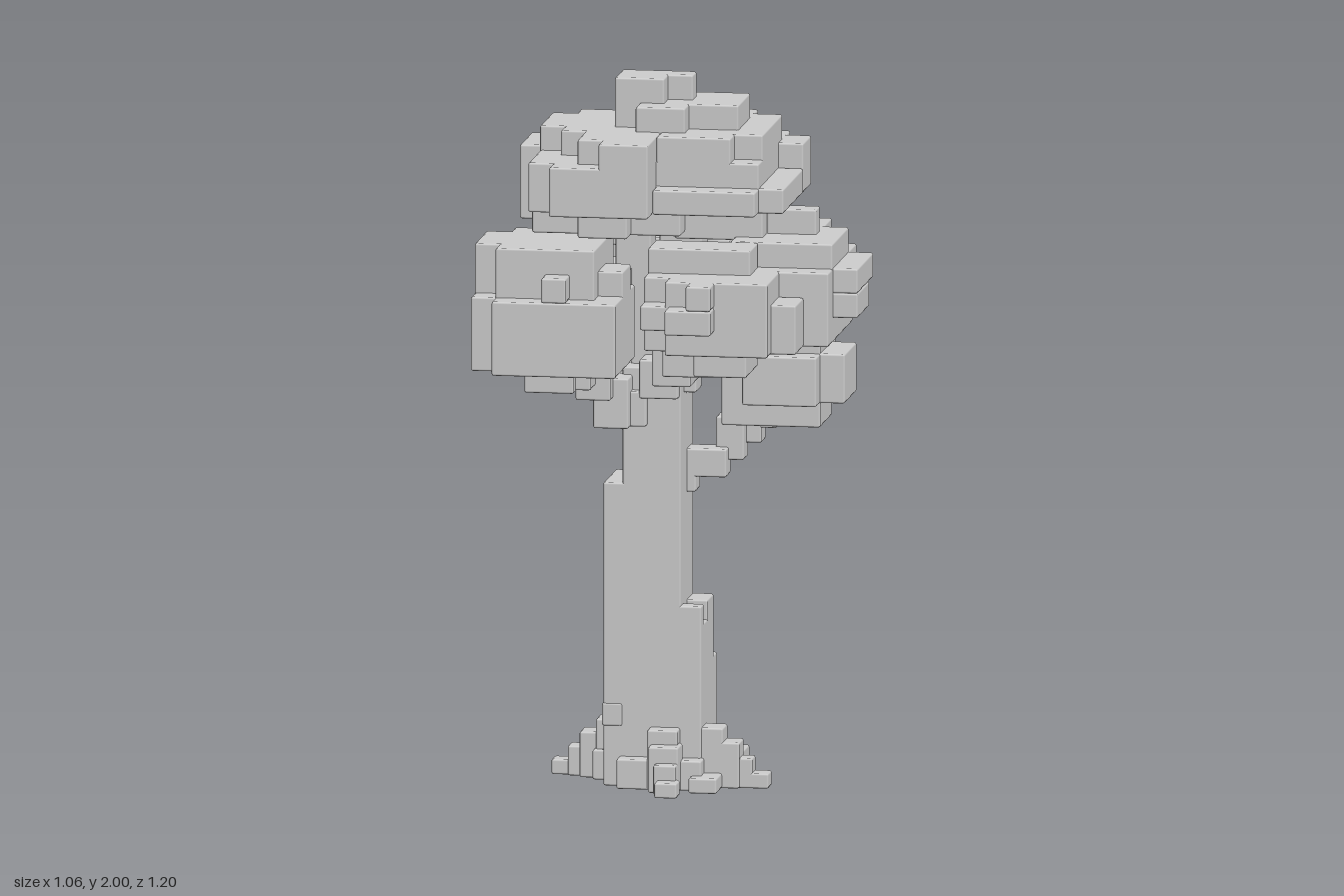
import * as THREE from 'three';
import { RoundedBoxGeometry } from 'three/addons/geometries/RoundedBoxGeometry.js';
import { mergeGeometries } from 'three/addons/utils/BufferGeometryUtils.js';

const material = new THREE.MeshStandardMaterial({ color: 0xcccccc });

// Slightly bevelled block from its limits
function block([x0, x1, y0, y1, z0, z1]) {
  const geo = new RoundedBoxGeometry(x1 - x0, y1 - y0, z1 - z0, 1, 0.006);
  return geo.translate((x0 + x1) / 2, (y0 + y1) / 2, (z0 + z1) / 2);
}

// One mesh from a list of blocks
function part(name, boxes) {
  const mesh = new THREE.Mesh(mergeGeometries(boxes.map(block)), material);
  mesh.name = name;
  return mesh;
}

// Stepped limb of small cubes along a line, snapped to a grid
function limb(from, to, size, steps) {
  const g = 0.043, snap = v => Math.round(v / g) * g;
  const boxes = [];
  for (let i = 0; i <= steps; i++) {
    const [x, y, z] = from.map((v, k) => snap(v + (to[k] - v) * i / steps));
    const h = size / 2;
    boxes.push([x - h, x + h, y - h, y + h, z - h, z + h]);
  }
  return boxes;
}

// Root descending outwards in steps that all reach the ground
function root(from, to) {
  return [0.17, 0.13, 0.085, 0.043].map((h, i) => {
    const t = i / 3, w = i < 2 ? 0.043 : 0.032;
    const x = from[0] + (to[0] - from[0]) * t, z = from[1] + (to[1] - from[1]) * t;
    return [x - w, x + w, 0, h, z - w, z + w];
  });
}

export function createModel() {
  const tree = new THREE.Group();
  tree.name = 'tree';

  tree.add(part('trunk', [
    [-0.15, 0.015, 0, 1.19, -0.073, 0.15],
    [-0.205, 0.0, 0, 0.86, -0.073, 0.15],
    [-0.1, 0.073, 0, 0.46, -0.073, 0.15],
    [-0.1, 0.073, 0.4, 0.515, -0.073, 0.04],
    [-0.1, 0.073, 0.4, 0.515, 0.1, 0.15],
  ]));

  // Knots and flakes on the back and sides of the bark
  tree.add(part('barkKnots', [
    [-0.11, -0.05, 0.41, 0.46, -0.13, -0.06],
    [-0.205, -0.14, 0, 0.25, -0.13, -0.06],
    [0.01, 0.073, 0, 0.34, -0.13, -0.06],
    [-0.1, 0.02, 0, 0.17, -0.13, -0.06],
    [-0.208, -0.15, 0.17, 0.235, 0.1, 0.153],
  ]));

  tree.add(part('roots', [
    ...root([-0.2, 0.0], [-0.345, -0.04]),
    ...root([-0.03, 0.16], [0.0, 0.3]),
    ...root([0.09, 0.1], [0.228, 0.1]),
    ...root([-0.04, -0.12], [-0.07, -0.27]),
    [-0.25, -0.15, 0, 0.085, -0.08, 0.06],
    [0.03, 0.17, 0, 0.085, -0.1, 0.04],
    [-0.16, 0.08, 0, 0.085, 0.1, 0.2],
    [-0.16, 0.03, 0, 0.085, -0.19, -0.06],
    [0.05, 0.13, 0, 0.043, 0.1, 0.24],
  ]));

  tree.add(part('branches', [
    ...limb([-0.13, 1.06, 0.12], [-0.3, 1.25, 0.32], 0.1, 6),
    ...limb([-0.12, 1.05, 0.0], [-0.25, 1.2, -0.14], 0.085, 5),
    ...limb([0.02, 0.86, 0.02], [0.2, 1.03, -0.1], 0.08, 6),
    ...limb([-0.04, 1.14, 0.02], [0.02, 1.6, 0.0], 0.12, 8),
    ...limb([-0.03, 1.16, 0.12], [0.1, 1.32, 0.3], 0.11, 6),
    ...limb([-0.05, 1.12, -0.04], [-0.05, 1.34, -0.32], 0.085, 6),
    ...limb([0.0, 1.16, 0.04], [0.24, 1.36, 0.06], 0.1, 6),
    ...limb([-0.08, 1.16, 0.06], [-0.12, 1.6, 0.06], 0.1, 8),
  ]));

  const foliage = {
    crownLeaves: [
      [-0.18, -0.04, 1.8, 2.0, -0.04, 0.10],
      [-0.11, 0.03, 1.8, 2.0, -0.04, 0.03],
      [-0.11, 0.17, 1.7, 1.93, -0.11, 0.10],
      [-0.11, 0.03, 1.7, 1.93, 0.03, 0.17],
      [-0.32, -0.11, 1.65, 1.86, -0.18, 0.18],
      [-0.39, -0.11, 1.65, 1.86, -0.11, 0.11],
      [-0.39, -0.11, 1.65, 1.79, -0.25, 0.32],
      [-0.25, -0.04, 1.65, 1.86, 0.11, 0.32],
      [-0.18, -0.04, 1.65, 1.86, 0.25, 0.39],
      [-0.32, -0.04, 1.65, 1.79, 0.18, 0.39],
      [-0.04, 0.25, 1.65, 1.86, -0.18, 0.17],
      [-0.04, 0.17, 1.65, 1.86, -0.25, 0.24],
      [-0.39, 0.03, 1.58, 1.72, -0.11, 0.25],
      [-0.39, -0.11, 1.58, 1.79, -0.25, 0.03],
      [-0.46, -0.18, 1.58, 1.79, -0.18, 0.03],
      [-0.39, -0.18, 1.50, 1.65, -0.18, -0.04],
      [-0.11, 0.25, 1.65, 1.79, -0.32, 0.24],
      [0.10, 0.32, 1.65, 1.79, -0.25, -0.11],
      [0.10, 0.32, 1.65, 1.72, -0.11, 0.24],
      [-0.04, 0.17, 1.65, 1.72, -0.39, -0.2],
      [-0.04, 0.25, 1.65, 1.72, 0.1, 0.31],
      [-0.25, -0.11, 1.58, 1.65, 0.11, 0.32],
      [0.0, 0.25, 1.56, 1.66, -0.04, 0.17],
      [0.10, 0.25, 1.56, 1.66, -0.25, -0.04],
    ],
    rightFrontLeaves: [
      [-0.53, -0.18, 1.29, 1.57, 0.18, 0.39],
      [-0.46, -0.18, 1.29, 1.57, 0.11, 0.46],
      [-0.46, -0.11, 1.22, 1.43, 0.18, 0.53],
      [-0.53, -0.11, 1.22, 1.43, 0.25, 0.46],
      [-0.32, -0.25, 1.43, 1.50, 0.39, 0.53],
      [-0.25, -0.11, 1.36, 1.5, 0.25, 0.39],
      [-0.39, -0.25, 1.15, 1.29, 0.25, 0.39],
    ],
    rightBackLeaves: [
      [-0.53, -0.25, 1.29, 1.43, -0.25, -0.04],
      [-0.46, -0.18, 1.22, 1.43, -0.32, 0.03],
      [-0.46, -0.25, 1.22, 1.36, -0.39, -0.11],
      [-0.39, -0.18, 1.15, 1.36, -0.25, -0.04],
      [-0.32, -0.25, 1.29, 1.36, -0.46, -0.32],
    ],
    backLeaves: [
      [-0.25, 0.10, 1.36, 1.57, -0.46, -0.25],
      [-0.18, 0.03, 1.36, 1.57, -0.53, -0.25],
      [-0.25, 0.10, 1.36, 1.5, -0.53, -0.25],
      [-0.18, 0.10, 1.29, 1.5, -0.53, -0.18],
      [-0.11, 0.17, 1.36, 1.5, -0.46, -0.25],
      [-0.11, 0.10, 1.22, 1.4, -0.46, -0.25],
      [-0.11, -0.04, 1.36, 1.50, -0.60, -0.46],
    ],
    leftLeaves: [
      [0.17, 0.39, 1.36, 1.57, -0.18, 0.25],
      [0.25, 0.39, 1.36, 1.50, -0.25, -0.11],
      [0.25, 0.46, 1.29, 1.57, -0.04, 0.25],
      [0.17, 0.46, 1.29, 1.50, -0.11, 0.32],
      [0.25, 0.46, 1.36, 1.50, -0.18, 0.18],
      [0.32, 0.53, 1.43, 1.50, -0.04, 0.24],
      [0.32, 0.53, 1.36, 1.43, 0.03, 0.24],
      [0.25, 0.39, 1.5, 1.64, 0.03, 0.1],
    ],
    leftFrontLeaves: [
      [-0.04, 0.25, 1.36, 1.57, 0.25, 0.39],
      [-0.04, 0.25, 1.36, 1.50, 0.25, 0.46],
      [0.03, 0.32, 1.29, 1.50, 0.25, 0.53],
      [0.10, 0.39, 1.29, 1.43, 0.32, 0.46],
      [-0.04, 0.17, 1.29, 1.43, 0.32, 0.46],
      [-0.04, 0.17, 1.36, 1.43, 0.39, 0.53],
      [0.04, 0.17, 1.36, 1.43, 0.46, 0.60],
      [0.10, 0.17, 1.43, 1.50, 0.46, 0.60],
      [0.10, 0.25, 1.22, 1.36, 0.25, 0.46],
    ],
    lowerLeftLeaves: [
      [0.11, 0.39, 1.01, 1.22, -0.18, 0.03],
      [0.18, 0.32, 1.01, 1.22, -0.24, 0.03],
      [0.18, 0.39, 1.08, 1.22, -0.25, 0.10],
      [0.18, 0.39, 1.15, 1.29, -0.18, 0.03],
      [0.25, 0.46, 1.08, 1.22, -0.18, 0.03],
      [0.11, 0.32, 1.08, 1.22, -0.32, 0.03],
      [0.10, 0.17, 1.15, 1.22, -0.39, -0.18],
    ],
  };
  for (const [name, boxes] of Object.entries(foliage)) tree.add(part(name, boxes));

  return tree;
}
